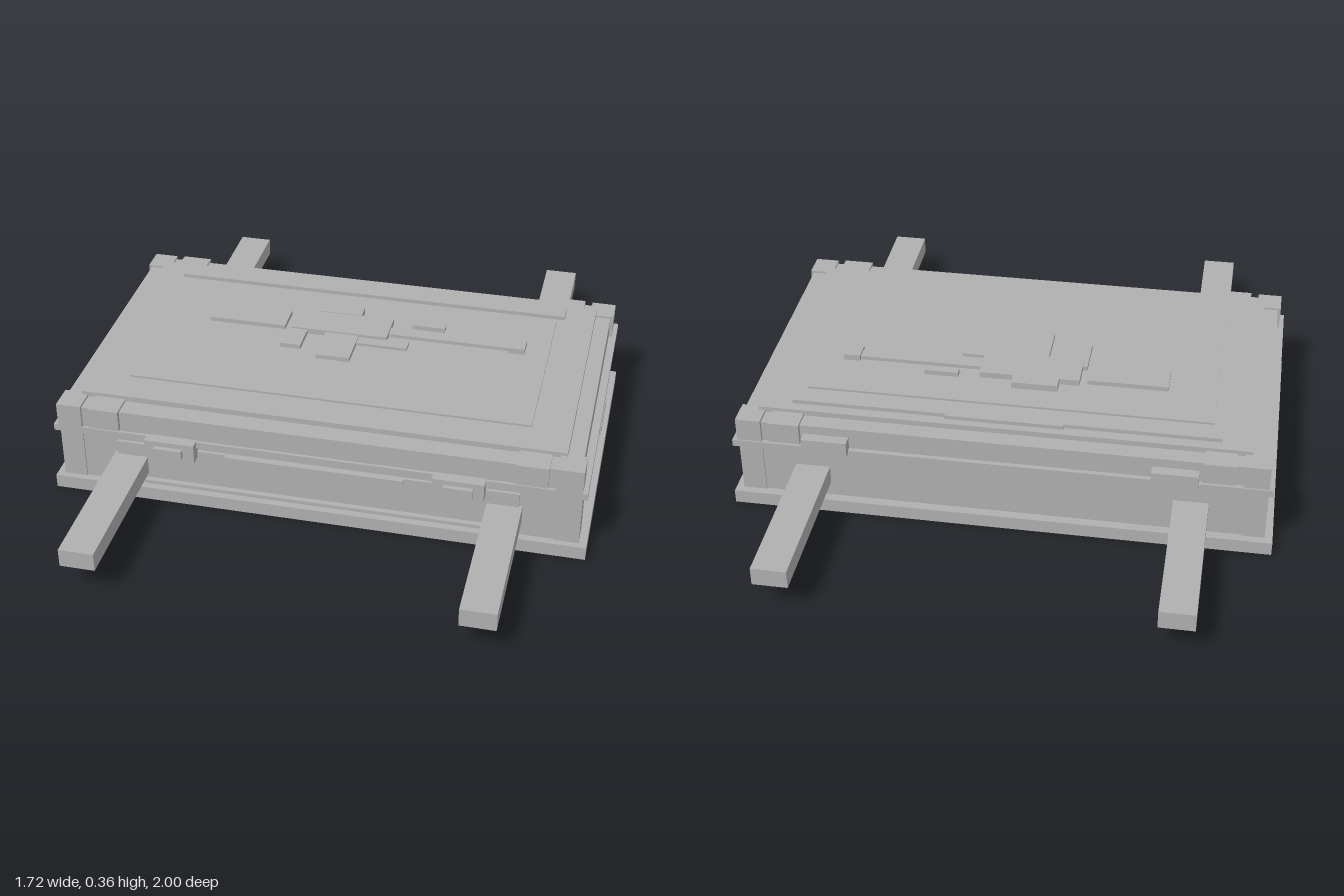
import * as THREE from 'three';

export function createModel() {
  const model = new THREE.Group();
  model.name = 'crate';
  const grey = new THREE.MeshStandardMaterial({ color: 0xb0b0b0 });
  grey.name = 'plainGrey';

  // Box from its min and max on each axis
  const box = (name, x0, x1, y0, y1, z0, z1) => {
    const mesh = new THREE.Mesh(new THREE.BoxGeometry(x1 - x0, y1 - y0, z1 - z0), grey);
    mesh.name = name;
    mesh.position.set((x0 + x1) / 2, (y0 + y1) / 2, (z0 + z1) / 2);
    model.add(mesh);
  };
  // The same box on both sides of x = 0
  const pair = (name, x0, x1, ...rest) => {
    box(name + 'Left', x0, x1, ...rest);
    box(name + 'Right', -x1, -x0, ...rest);
  };

  // Base, body and rim
  box('base', -0.86, 0.86, 0, 0.045, -0.515, 0.51);
  box('body', -0.8, 0.8, 0.045, 0.222, -0.485, 0.485);
  box('rim', -0.85, 0.85, 0.222, 0.245, -0.51, 0.505);

  // Lid with raised panels
  box('lid', -0.825, 0.825, 0.245, 0.315, -0.495, 0.495);
  box('lidPanel', -0.775, 0.775, 0.315, 0.333, -0.44, 0.43);
  box('lidInset', -0.65, 0.65, 0.333, 0.34, -0.317, 0.317);

  // Corner posts, lid corners and lid straps
  for (const s of [1, -1]) {
    const z = (a, b) => (s > 0 ? [a, b] : [-b, -a]);
    pair('cornerPost', 0.76, 0.835, 0.045, 0.222, ...z(0.41, 0.49));
    pair('lidCorner', 0.755, 0.835, 0.245, 0.322, ...z(0.42, 0.505));
    pair('lidStrap', 0.63, 0.73, 0.252, 0.322, ...z(0.43, 0.51));
  }

  // Carrying beams
  pair('beam', 0.545, 0.655, 0.095, 0.155, -1, 1);

  // Front panel, trims and latches
  box('frontPanel', -0.645, 0.645, 0.078, 0.203, 0.48, 0.495);
  box('frontLowerTrim', -0.555, 0.555, 0.06, 0.072, 0.48, 0.505);
  box('frontStrip', -0.285, 0.285, 0.193, 0.203, 0.49, 0.508);
  pair('latch', 0.378, 0.54, 0.183, 0.247, 0.48, 0.532);
  pair('latchTab', 0.415, 0.507, 0.2, 0.23, 0.53, 0.547);

  // Rear hinges
  pair('hinge', 0.475, 0.62, 0.235, 0.285, -0.53, -0.48);

  // Side panels and grips
  pair('sidePanel', 0.79, 0.82, 0.065, 0.193, -0.34, 0.34);
  pair('sideGrip', 0.81, 0.852, 0.182, 0.207, -0.088, 0.09);

  // Strip along the back of the lid
  box('lidStrip', -0.68, 0.675, 0.333, 0.346, -0.405, -0.345);
  box('lidStripTab', -0.19, 0.185, 0.333, 0.346, -0.415, -0.4);

  // Raised relief built of plain blocks: [x0, x1, z0, z1, top]
  const relief = [
    [-0.495, -0.235, -0.167, -0.067, 0.355],
    [-0.21, 0.115, -0.18, -0.057, 0.36],
    [-0.145, 0.005, -0.225, -0.175, 0.362],
    [-0.225, -0.155, -0.09, 0.043, 0.355],
    [-0.093, 0.02, -0.06, 0.087, 0.355],
    [0.02, 0.115, -0.06, -0.02, 0.35],
    [0.115, 0.19, -0.067, -0.02, 0.35],
    [0.115, 0.52, -0.137, -0.095, 0.352],
    [0.517, 0.572, -0.147, -0.083, 0.36],
    [0.183, 0.293, -0.19, -0.162, 0.356],
  ];
  relief.forEach(([x0, x1, z0, z1, top], i) =>
    box('reliefBlock' + (i + 1), x0, x1, 0.337, top, z0, z1));

  return model;
}
